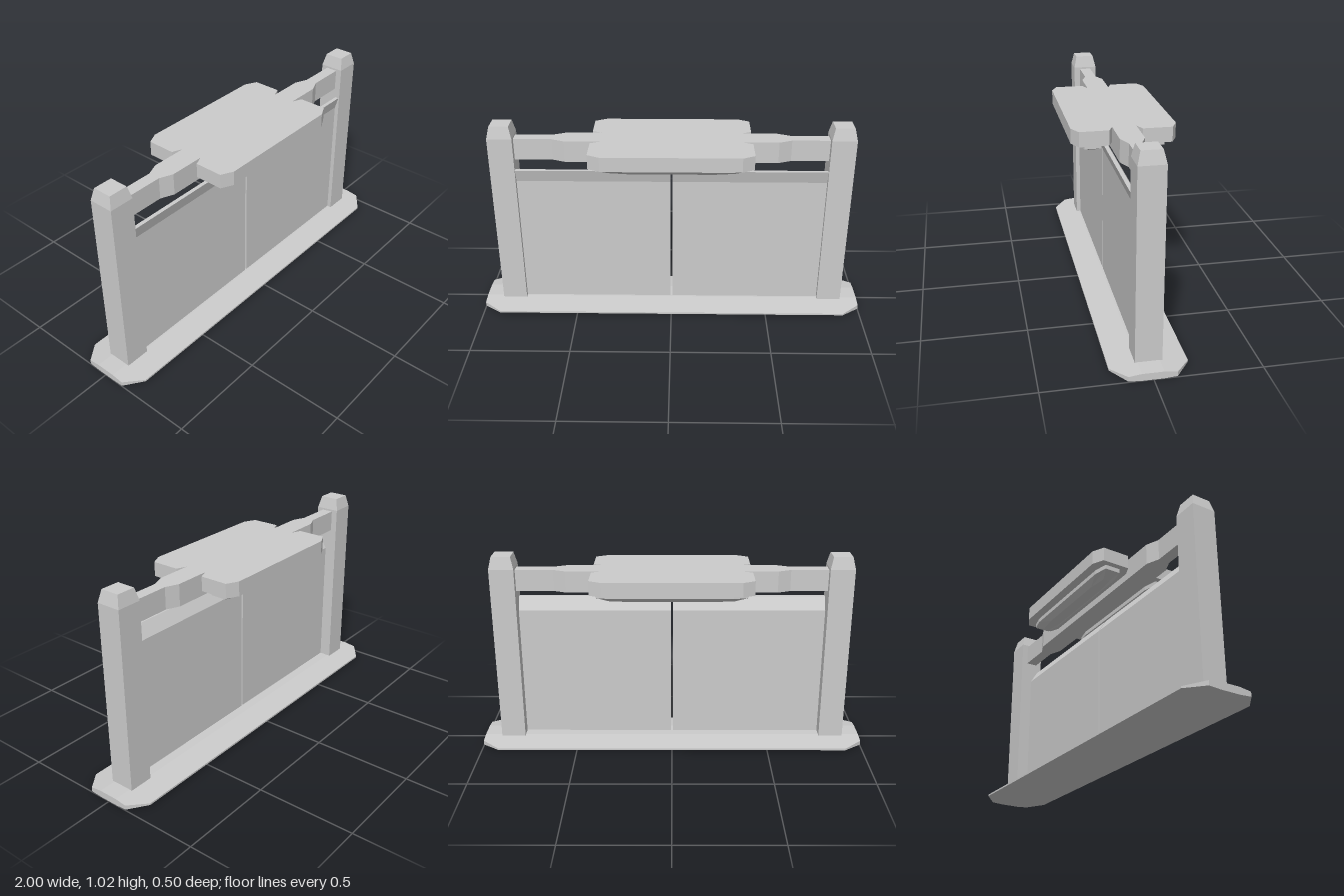
import * as THREE from 'three';

const material = new THREE.MeshStandardMaterial({ color: 0xcccccc, flatShading: true });

// Skin a series of convex rings, closing both ends.
// Rings run counter-clockwise seen from the end of the loft.
function loft(rings) {
  const n = rings[0].length, last = (rings.length - 1) * n, index = [];
  for (let i = 0; i < rings.length - 1; i++) {
    for (let j = 0; j < n; j++) {
      const a = i * n + j, b = i * n + (j + 1) % n;
      index.push(a, b, b + n, a, b + n, a + n);
    }
  }
  for (let j = 1; j < n - 1; j++) {
    index.push(0, j + 1, j, last, last + j, last + j + 1);
  }
  const g = new THREE.BufferGeometry();
  g.setAttribute('position', new THREE.Float32BufferAttribute(rings.flat(2), 3));
  g.setIndex(index);
  const flat = g.toNonIndexed();
  flat.computeVertexNormals();
  return flat;
}

function extrude(points, depth) {
  const shape = new THREE.Shape(points.map(p => new THREE.Vector2(...p)));
  return new THREE.ExtrudeGeometry(shape, { depth, bevelEnabled: false });
}

function add(parent, name, geometry, x = 0, y = 0, z = 0) {
  const mesh = new THREE.Mesh(geometry, material);
  mesh.name = name;
  mesh.position.set(x, y, z);
  parent.add(mesh);
  return mesh;
}

// Horizontal rings
const square = (h, y) => [[h, y, h], [h, y, -h], [-h, y, -h], [-h, y, h]];
const octagon = (a, b, cx, cz, y) => [
  [a, y, b - cz], [a, y, cz - b], [a - cx, y, -b], [cx - a, y, -b],
  [-a, y, cz - b], [-a, y, b - cz], [cx - a, y, b], [a - cx, y, b],
];

// Base section at x with half width w: flat crest, sloping sides, shallow keel
function baseRing(x, w) {
  const k = (w - 0.05) / 0.13, top = 0.035 - 0.017 * k, low = 0.009 * k;
  return [
    [x, 0.035, -0.05], [x, 0.035, 0.05], [x, top, w], [x, low, w],
    [x, 0, 0.05], [x, 0, -0.05], [x, low, -w], [x, top, -w],
  ];
}

export function createModel() {
  const model = new THREE.Group();
  model.name = 'doubleDoorGate';
  const body = new THREE.Group();
  body.name = 'gateBody';
  body.position.z = 0.003;
  model.add(body);

  add(body, 'base', loft([
    baseRing(-1, 0.11), baseRing(-0.91, 0.18), baseRing(0.91, 0.18), baseRing(1, 0.11),
  ]));

  // Posts with tapered caps, and door panels whose top lip bends forward
  const post = loft([square(0.0625, 0.02), square(0.0625, 0.955), square(0.048, 1.017)]);
  const panelLength = 0.782;
  const panel = extrude([
    [0, 0.025], [0.04, 0.025], [0.04, 0.72], [0.058, 0.785], [0.038, 0.785], [0, 0.72],
  ], panelLength).rotateY(-Math.PI / 2).translate(panelLength / 2, 0, 0);
  for (const [side, s] of [['left', 1], ['right', -1]]) {
    add(body, side + 'Post', post, s * 0.8475);
    add(body, side + 'Panel', panel, s * (0.006 + panelLength / 2));
  }

  // Crossbar, thicker in the middle
  const bar = extrude([
    [-0.79, -0.03], [-0.595, -0.03], [-0.53, -0.057], [0.53, -0.057], [0.595, -0.03], [0.79, -0.03],
    [0.79, 0.03], [0.595, 0.03], [0.53, 0.057], [-0.53, 0.057], [-0.595, 0.03], [-0.79, 0.03],
  ], 0.11).rotateX(-Math.PI / 2);
  add(body, 'crossbar', bar, 0, 0.835);

  // Lamp housings with faceted lamps below, one on each face
  const housing = extrude([
    [-0.35, -0.057], [0.35, -0.057], [0.4, -0.078], [0.4, -0.22],
    [0.34, -0.25], [-0.34, -0.25], [-0.4, -0.22], [-0.4, -0.078],
  ].reverse(), 0.073).rotateX(-Math.PI / 2);
  const lamp = loft([
    octagon(0.31, 0.028, 0.1, 0.012, 0.826),
    octagon(0.37, 0.056, 0.07, 0.016, 0.85),
    octagon(0.37, 0.056, 0.07, 0.016, 0.875),
  ]);
  for (const [side, turn] of [['front', 0], ['back', Math.PI]]) {
    const unit = new THREE.Group();
    unit.name = side + 'LampUnit';
    unit.rotation.y = turn;
    body.add(unit);
    add(unit, side + 'LampHousing', housing, 0, 0.872);
    add(unit, side + 'Lamp', lamp, 0, 0, 0.15);
  }
  return model;
}
